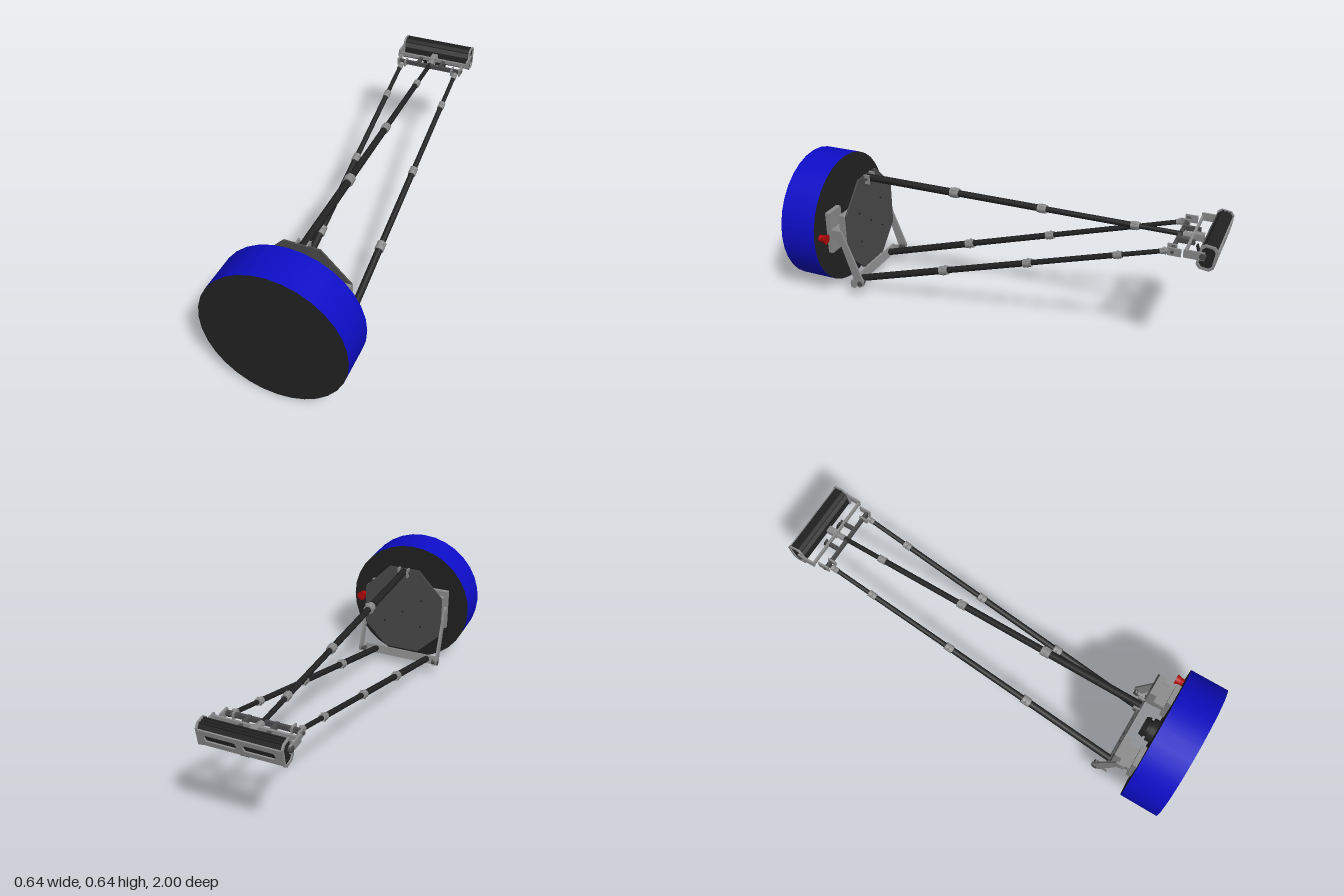
import * as THREE from 'three';

const mat = (color) => new THREE.MeshStandardMaterial({ color });
const BLACK = mat(0x222222), GREY = mat(0x8c8c8c), PLATE = mat(0x4a4a4a), BLUE = mat(0x0d0dc8), RED = mat(0xb00808);

export function createModel() {
  const root = new THREE.Group();

  const add = (name, geometry, material, parent = root) => {
    const m = new THREE.Mesh(geometry, material);
    m.name = name;
    parent.add(m);
    return m;
  };
  const box = (name, w, h, d, x, y, z, material, parent) => {
    const m = add(name, new THREE.BoxGeometry(w, h, d), material, parent);
    m.position.set(x, y, z);
    return m;
  };
  // cylinder between two points
  const rod = (name, a, b, r, material, sides = 16, r2 = r, parent = root) => {
    const dir = b.clone().sub(a);
    const m = add(name, new THREE.CylinderGeometry(r2, r, dir.length(), sides), material, parent);
    m.position.copy(a).add(b).multiplyScalar(0.5);
    m.quaternion.setFromUnitVectors(new THREE.Vector3(0, 1, 0), dir.normalize());
    return m;
  };
  const V = (x, y, z) => new THREE.Vector3(x, y, z);
  const path = (pts) => pts.map(([a, b]) => new THREE.Vector2(a, b));
  // [z, y] profile extruded along x, centred on cx
  const profile = (name, pts, cx, width, material, parent, hole) => {
    const s = new THREE.Shape(path(pts));
    if (hole) s.holes.push(new THREE.Path(path(hole)));
    const g = new THREE.ExtrudeGeometry(s, { depth: width, bevelEnabled: false });
    g.translate(0, 0, -width / 2).rotateY(-Math.PI / 2);
    const m = add(name, g, material, parent);
    m.position.x = cx;
    return m;
  };

  // drum: blue shell with dark faces
  const shell = add('drumShell', new THREE.CylinderGeometry(0.32, 0.32, 0.18, 32, 1, true), BLUE);
  shell.rotation.x = Math.PI / 2;
  shell.position.set(0, 0.322, 0.91);
  for (const s of [1, -1]) {
    const face = add(s > 0 ? 'drumFrontFace' : 'drumBackFace', new THREE.CircleGeometry(0.32, 32), BLACK);
    // half-turns keep the rim corners aligned with the shell
    face.geometry.rotateZ(Math.PI / 2);
    if (s < 0) face.rotation.y = Math.PI;
    face.position.set(0, 0.322, 0.91 + s * 0.09);
  }

  // hub bearing and red button behind the drum
  rod('hubBase', V(0, 0.322, 0.82), V(0, 0.322, 0.79), 0.055, BLACK, 24);
  rod('hubNeck', V(0, 0.322, 0.79), V(0, 0.322, 0.775), 0.04, BLACK, 24);
  rod('hubCap', V(0, 0.322, 0.778), V(0, 0.322, 0.755), 0.05, BLACK, 24, 0.043);
  rod('buttonStem', V(0.27, 0.325, 0.82), V(0.27, 0.325, 0.803), 0.017, RED, 16);
  rod('buttonCap', V(0.27, 0.325, 0.805), V(0.27, 0.325, 0.783), 0.017, RED, 16, 0.024);

  // octagonal back plate with small bolts
  const oct = new THREE.Shape(path([
    [-0.09, 0.1], [0.09, 0.1], [0.21, 0.22], [0.21, 0.43],
    [0.08, 0.565], [-0.08, 0.565], [-0.21, 0.43], [-0.21, 0.22]]));
  const plate = add('backPlate', new THREE.ExtrudeGeometry(oct, { depth: 0.008, bevelEnabled: false }), PLATE);
  plate.position.z = 0.704;
  for (const [x, y] of [[-0.1, 0.25], [0.1, 0.25], [-0.1, 0.4], [0.1, 0.4], [0, 0.32]])
    rod('plateBolt', V(x, y, 0.705), V(x, y, 0.7), 0.005, BLACK, 8);

  // mirrored mounting brackets and swing arms
  const hPts = [[0.82, 0.22], [0.82, 0.43], [0.797, 0.43], [0.797, 0.345], [0.745, 0.345], [0.745, 0.43],
    [0.712, 0.43], [0.712, 0.29], [0.745, 0.29], [0.797, 0.3], [0.797, 0.22]];
  const armPts = [[0.775, 0.35], [0.735, 0.35], [0.712, 0.29], [0.637, 0.1], [0.638, 0.075], [0.66, 0.062],
    [0.678, 0.075], [0.745, 0.285], [0.775, 0.305]];
  for (const s of [1, -1]) {
    profile('mountBracket', hPts, s * 0.162, 0.1, GREY);
    profile('swingArm', armPts, s * 0.215, 0.01, GREY);
    profile('armLug', [[0.714, 0.045], [0.718, 0.075], [0.65, 0.1], [0.642, 0.07]], s * 0.2, 0.012, GREY);
    rod('armPivot', V(s * 0.19, 0.085, 0.655), V(s * 0.224, 0.085, 0.655), 0.013, PLATE, 12);
  }
  const bar = box('lowerCrossbar', 0.41, 0.042, 0.014, 0, 0.066, 0.704, GREY);
  bar.rotation.x = 0.2;

  // telescopic leg: four stages, a clamp collar at the end of each
  const leg = (name, a, b, stops, r0) => {
    const g = new THREE.Group();
    g.name = name;
    root.add(g);
    const dir = b.clone().sub(a).normalize();
    const at = (z) => a.clone().addScaledVector(dir, (z - a.z) / dir.z);
    let start = a;
    stops.forEach((z, i) => {
      const c = at(z), r = r0 * (1 - i * 0.13);
      rod('stage', start, c, r, BLACK, 16, r, g);
      const rc = r * 1.28, half = 0.021 - i * 0.001;
      rod('clampCollar', c.clone().addScaledVector(dir, -half), c.clone().addScaledVector(dir, half), rc, GREY, 16, rc, g);
      box('clampTab', rc * 1.5, rc * 1.7, 0.022, c.x, c.y, c.z, GREY, g).rotation.x = Math.asin(-dir.y);
      start = c;
    });
    rod('legTip', start, b, r0 * 0.5, BLACK, 12, r0 * 0.5, g);
  };
  leg('upperLeg', V(0, 0.55, 0.705), V(0, 0.548, -0.88), [0.24, -0.19, -0.615, -0.84], 0.0175);
  for (const s of [1, -1])
    leg('lowerLeg', V(s * 0.145, 0.07, 0.697), V(s * 0.145, 0.545, -0.82), [0.235, -0.18, -0.585, -0.78], 0.0165);

  // clevis holding the upper leg to the plate
  for (const s of [1, -1]) box('upperClevis', 0.008, 0.045, 0.03, s * 0.024, 0.548, 0.695, GREY);
  rod('upperClevisPin', V(-0.034, 0.55, 0.694), V(0.034, 0.55, 0.694), 0.007, PLATE, 10);

  // carrier between the legs and the head
  box('carrierBar', 0.32, 0.02, 0.014, 0, 0.546, -0.81, PLATE);
  box('headBar', 0.37, 0.018, 0.01, 0, 0.555, -0.867, GREY);
  box('centreLink', 0.03, 0.03, 0.05, 0, 0.55, -0.885, GREY);
  for (const s of [1, -1]) {
    box('carrierCheek', 0.008, 0.035, 0.055, s * 0.165, 0.545, -0.823, GREY);
    box('carrierFork', 0.008, 0.03, 0.04, s * 0.125, 0.545, -0.805, GREY);
    box('carrierLink', 0.016, 0.02, 0.08, s * 0.06, 0.55, -0.845, PLATE);
    box('headArm', 0.009, 0.035, 0.085, s * 0.182, 0.557, -0.905, GREY);
    rod('headPivot', V(s * 0.172, 0.557, -0.94), V(s * 0.19, 0.557, -0.94), 0.014, PLATE, 12);
    rod('carrierPin', V(s * 0.11, 0.545, -0.815), V(s * 0.174, 0.545, -0.815), 0.007, PLATE, 10);
    box('releaseLever', 0.02, 0.045, 0.008, s * 0.05, 0.515, -0.9, BLACK).rotation.x = 0.3;
  }

  // head: dark body, ribbed top, framed ends and slotted rear panel
  const head = new THREE.Group();
  head.name = 'head';
  head.position.set(0, 0.552, -0.957);
  head.rotation.x = -0.15;
  root.add(head);
  const ring = (a, b, c) => [[a - c, -b], [a, c - b], [a, b - c], [a - c, b], [c - a, b], [-a, b - c], [-a, c - b], [c - a, -b]];
  profile('headBody', ring(0.031, 0.05, 0.014), 0, 0.35, BLACK, head);
  for (const s of [1, -1]) profile('headEndFrame', ring(0.037, 0.056, 0.016), s * 0.177, 0.008, GREY, head, ring(0.027, 0.046, 0.013));
  for (const z of [-0.015, 0, 0.015]) {
    box('topRib', 0.345, 0.006, 0.006, 0, 0.051, z, BLACK, head);
    box('bottomRib', 0.345, 0.006, 0.006, 0, -0.051, z, BLACK, head);
  }
  box('frontRail', 0.345, 0.022, 0.008, 0, 0.02, 0.033, PLATE, head);
  box('bottomCatch', 0.04, 0.018, 0.02, 0, -0.06, 0, BLACK, head);
  const panel = new THREE.Shape(path([[-0.173, -0.035], [0.173, -0.035], [0.173, 0.035], [-0.173, 0.035]]));
  for (const s of [1, -1]) {
    const x = s * 0.081;
    panel.holes.push(new THREE.Path(path([
      [x - 0.06, -0.014], [x - 0.068, 0], [x - 0.06, 0.014], [x + 0.06, 0.014], [x + 0.068, 0], [x + 0.06, -0.014]])));
  }
  add('rearPanel', new THREE.ExtrudeGeometry(panel, { depth: 0.008, bevelEnabled: false }), GREY, head).position.z = -0.038;

  return root;
}
